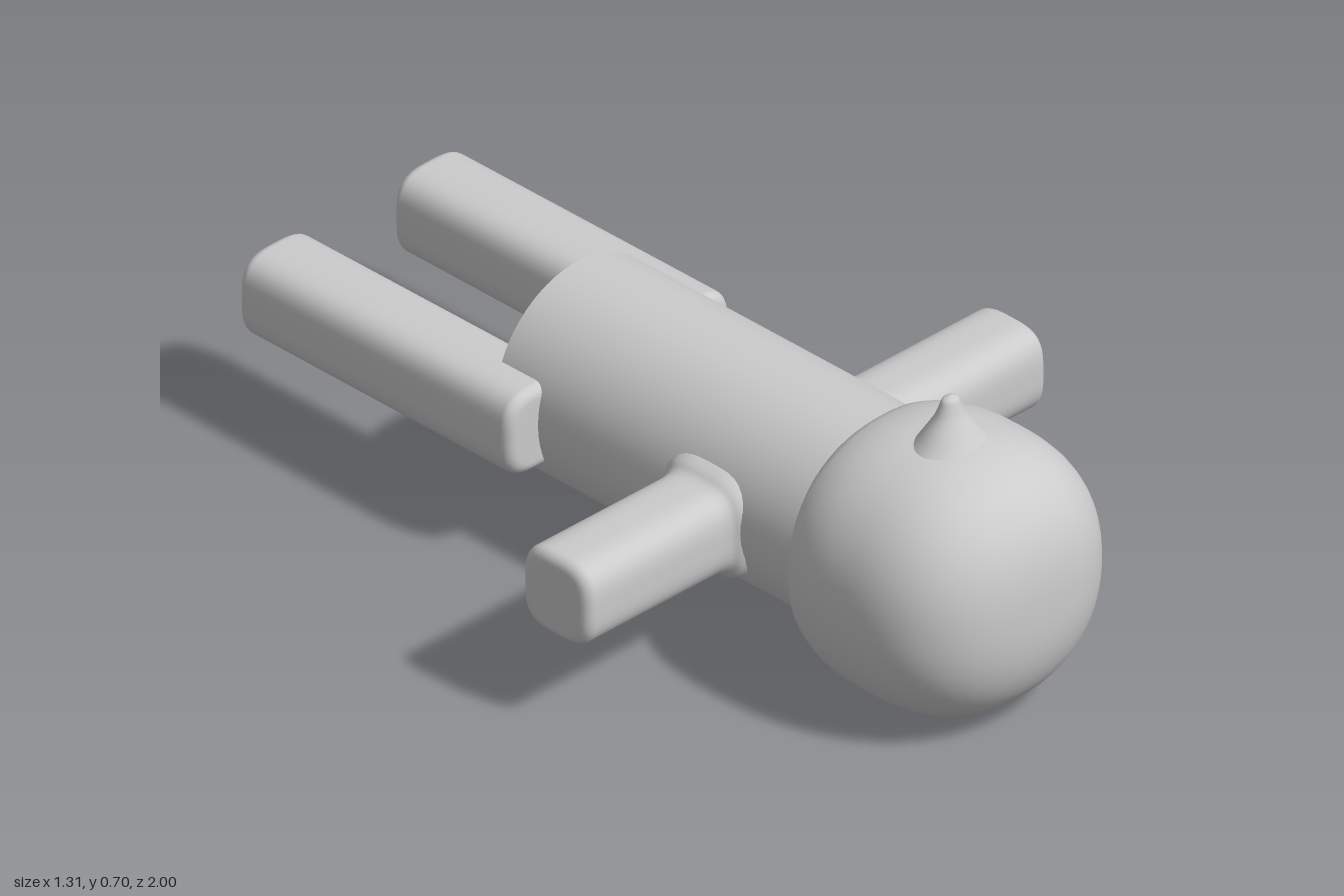
import * as THREE from 'three';
import { mergeVertices } from 'three/addons/utils/BufferGeometryUtils.js';

const MID = 0.3; // height of the figure's long axis

// Weld seams so the deformed surface gets smooth normals
function smooth(geo) {
  geo.deleteAttribute('uv');
  geo.deleteAttribute('normal');
  const g = mergeVertices(geo, 1e-5);
  g.computeVertexNormals();
  return g;
}

// Limb along +y with a rounded-square section; profile is [radius, height]
function limbGeometry(profile) {
  const geo = new THREE.LatheGeometry(profile.map(p => new THREE.Vector2(...p)), 48);
  const pos = geo.attributes.position;
  const e = 3.4;
  for (let i = 0; i < pos.count; i++) {
    const x = pos.getX(i), z = pos.getZ(i), r = Math.hypot(x, z);
    if (r < 1e-6) continue;
    const k = r / Math.pow(Math.abs(x) ** e + Math.abs(z) ** e, 1 / e);
    pos.setX(i, x * k);
    pos.setZ(i, z * k);
  }
  return smooth(geo);
}

// Softly rounded end of radius r at height h; s = 1 for the far end, -1 for the near end
function roundedEnd(r, h, s) {
  const b = 0.024, pts = [];
  for (let i = 0; i <= 5; i++) {
    const a = (i / 5) * Math.PI / 2;
    pts.push([r - b + b * Math.cos(a), h - s * b + s * b * Math.sin(a)]);
  }
  pts.push([r * 0.6, h], [0, h]);
  return s > 0 ? pts : pts.reverse();
}

export function createModel() {
  const group = new THREE.Group();
  const mat = new THREE.MeshStandardMaterial({ color: 0xcccccc });
  const add = (name, geo, x, y, z) => {
    const mesh = new THREE.Mesh(geo, mat);
    mesh.name = name;
    mesh.position.set(x, y, z);
    group.add(mesh);
    return mesh;
  };

  // Body: cylinder lying along z, its front end inside the head
  const body = new THREE.CylinderGeometry(0.235, 0.235, 0.94, 64);
  body.rotateX(Math.PI / 2);
  add('body', body, 0, 0.305, 0.13);

  // Head: sphere squared off a little, cut flat at the neck
  const head = new THREE.SphereGeometry(1, 64, 48);
  head.rotateX(Math.PI / 2);
  const p = head.attributes.position;
  const a = 2.2, b = 2.6;
  for (let i = 0; i < p.count; i++) {
    const x = p.getX(i), y = p.getY(i), z = p.getZ(i);
    const xy = Math.pow(Math.abs(x) ** a + Math.abs(y) ** a, 1 / a);
    const k = 1 / Math.pow(xy ** b + Math.abs(z) ** b, 1 / b);
    p.setXYZ(i, x * k * 0.303, y * k * 0.3, Math.max(z * k * 0.29, -0.18));
  }
  add('head', smooth(head), 0, MID, 0.71);

  // Peak on top of the head, flaring into it
  const peak = new THREE.SplineCurve([
    [0.11, 0.565], [0.08, 0.597], [0.06, 0.622], [0.037, 0.653],
    [0.026, 0.676], [0.018, 0.693], [0, 0.7]
  ].map(q => new THREE.Vector2(...q)));
  const peakGeo = new THREE.LatheGeometry(peak.getPoints(24), 32);
  peakGeo.scale(1, 1, 0.8);
  add('headPeak', smooth(peakGeo), 0, 0, 0.73);

  // Arms with flared shoulders, and straight legs with rounded ends
  const armGeo = limbGeometry([
    [0.125, 0.2], [0.118, 0.228], [0.107, 0.238], [0.1, 0.25], [0.097, 0.27],
    ...roundedEnd(0.097, 0.656, 1)
  ]);
  const legGeo = limbGeometry([...roundedEnd(0.099, 0.218, -1), ...roundedEnd(0.098, 1, 1)]);
  for (const s of [1, -1]) {
    const side = s > 0 ? 'left' : 'right';
    add(side + 'Arm', armGeo, 0, 0.292, 0.253).rotation.z = -s * Math.PI / 2;
    add(side + 'Leg', legGeo, s * 0.22, 0.296, 0).rotation.x = -Math.PI / 2;
  }
  return group;
}
